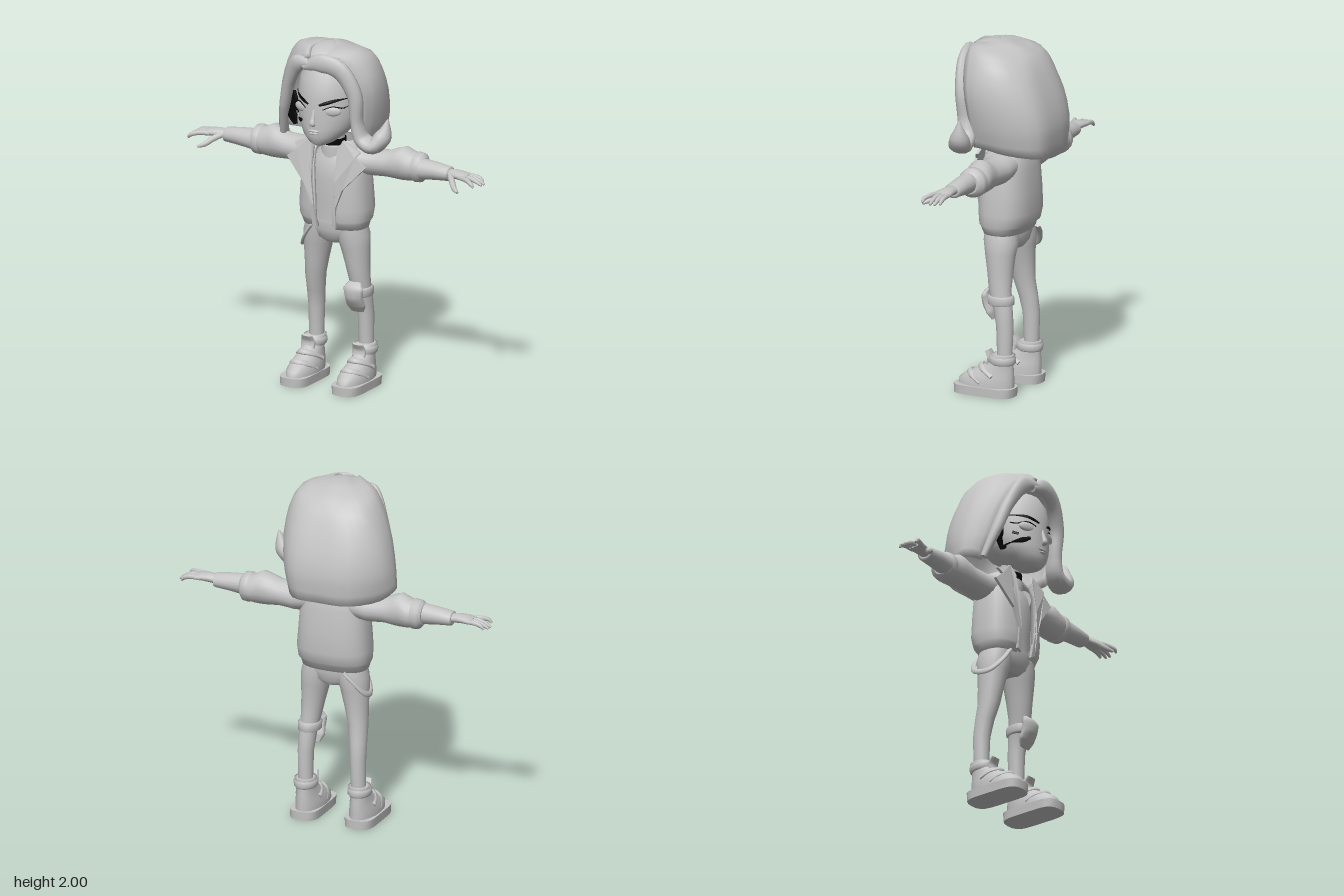
import * as THREE from 'three';

const V = (x, y, z) => new THREE.Vector3(x, y, z);
const curve = (pts) => new THREE.CatmullRomCurve3(pts, false, 'centripetal');
const clay = new THREE.MeshStandardMaterial({ color: 0xc4c4c4 });
clay.name = 'clay grey';
const ink = new THREE.MeshStandardMaterial({ color: 0x050505 });
ink.name = 'ink black';

// Turns faces outward as seen from the centroid.
function orient(pts, idx) {
  const c = pts.reduce((a, p) => a.add(p), V(0, 0, 0)).divideScalar(pts.length);
  let vol = 0;
  for (let i = 0; i < idx.length; i += 3) {
    const [a, b, d] = [0, 1, 2].map((k) => pts[idx[i + k]].clone().sub(c));
    vol += a.dot(b.cross(d));
  }
  if (vol < 0) for (let i = 0; i < idx.length; i += 3) [idx[i], idx[i + 1]] = [idx[i + 1], idx[i]];
}

function build(pts, idx) {
  orient(pts, idx);
  const g = new THREE.BufferGeometry().setFromPoints(pts);
  g.setIndex(idx);
  g.computeVertexNormals();
  return g;
}

// Joins closed rings of points and caps both ends.
function loft(rings) {
  const n = rings[0].length, pts = rings.flat(), idx = [];
  for (let j = 0; j < rings.length - 1; j++)
    for (let i = 0; i < n; i++) {
      const a = j * n + i, b = j * n + (i + 1) % n;
      idx.push(a, b, a + n, b, b + n, a + n);
    }
  for (const [j, flip] of [[0, 1], [rings.length - 1, 0]]) {
    const c = rings[j].reduce((s, p) => s.add(p), V(0, 0, 0)).divideScalar(n);
    const rim = rings[j].map((p) => p.clone()), base = pts.length;
    pts.push(...rim, c);
    for (let i = 0; i < n; i++) {
      const a = base + i, b = base + (i + 1) % n;
      flip ? idx.push(b, a, base + n) : idx.push(a, b, base + n);
    }
  }
  return build(pts, idx);
}

// Oval sections [x, y, z, radiusA, radiusB] stacked along the y or x axis.
function ovals(sections, axis = 'y', n = 20) {
  return loft(sections.map(([x, y, z, a, b]) => Array.from({ length: n }, (_, i) => {
    const t = i / n * Math.PI * 2, u = a * Math.cos(t), v = b * Math.sin(t);
    return axis === 'y' ? V(x + u, y, z + v) : V(x, y + u, z + v);
  })));
}

// Tapered lock along a path; ref is the direction of its thickness.
function strand(path, widths, thick, ref = V(0, 0, 1), steps = 20, n = 10) {
  const c = curve(path.map((p) => V(...p))), rings = [];
  const pick = (a, t) => {
    if (!Array.isArray(a)) return a;
    const f = t * (a.length - 1), i = Math.min(Math.floor(f), a.length - 2);
    return a[i] + (a[i + 1] - a[i]) * (f - i);
  };
  for (let j = 0; j <= steps; j++) {
    const t = j / steps, p = c.getPoint(t), tan = c.getTangent(t);
    const side = tan.clone().cross(ref).normalize(), up = side.clone().cross(tan).normalize();
    rings.push(Array.from({ length: n }, (_, i) => {
      const a = i / n * Math.PI * 2;
      return p.clone().addScaledVector(side, pick(widths, t) * Math.cos(a))
        .addScaledVector(up, pick(thick, t) * Math.sin(a));
    }));
  }
  return loft(rings);
}

// Open sheet of points made into a wall of thickness t.
function shell(rows, t) {
  const m = rows.length, n = rows[0].length, pts = rows.flat(), idx = [], N = pts.length;
  for (let j = 0; j < m - 1; j++)
    for (let i = 0; i < n - 1; i++) {
      const a = j * n + i;
      idx.push(a, a + 1, a + n, a + 1, a + n + 1, a + n);
    }
  const normals = build(pts, idx).attributes.normal;
  const inner = pts.map((p, i) => p.clone().addScaledVector(V(0, 0, 0).fromBufferAttribute(normals, i), -t));
  const edges = new Map();
  for (let i = 0; i < idx.length; i += 3)
    for (let k = 0; k < 3; k++) {
      const a = idx[i + k], b = idx[i + (k + 1) % 3];
      edges.delete(b + '_' + a) || edges.set(a + '_' + b, [a, b]);
    }
  const all = [...idx];
  for (let i = 0; i < idx.length; i += 3) all.push(idx[i] + N, idx[i + 2] + N, idx[i + 1] + N);
  for (const [a, b] of edges.values()) all.push(b, a, a + N, b, a + N, b + N);
  const g = new THREE.BufferGeometry().setFromPoints([...pts, ...inner]);
  g.setIndex(all);
  g.computeVertexNormals();
  return g;
}

// Head levels: y, half width, front z, back z.
const HEAD = [[1.422, 0.03, 0.225, 0.15], [1.44, 0.07, 0.248, 0.08], [1.48, 0.118, 0.262, 0], [1.53, 0.155, 0.266, -0.08],
  [1.6, 0.18, 0.265, -0.14], [1.7, 0.186, 0.265, -0.17], [1.8, 0.172, 0.25, -0.17], [1.88, 0.13, 0.2, -0.13], [1.93, 0.05, 0.1, -0.05]];
function faceZ(x, y) {
  const i = Math.max(1, HEAD.findIndex((h) => h[0] > y)), A = HEAD[i - 1], B = HEAD[i];
  const [, w, f, b] = A.map((a, k) => a + (B[k] - a) * (y - A[0]) / (B[0] - A[0]));
  return (f + b) / 2 + (f - b) / 2 * Math.sqrt(Math.max(0, 1 - (x / w) ** 2));
}

export function createModel() {
  const model = new THREE.Group();
  const add = (name, geo, mat = clay) => {
    const m = new THREE.Mesh(geo, mat);
    m.name = name;
    model.add(m);
    return m;
  };
  const blob = (name, x, y, z, a, b, c) => {
    const m = add(name, new THREE.SphereGeometry(1, 18, 12));
    m.position.set(x, y, z);
    m.scale.set(a, b, c);
    return m;
  };
  const paint = (name, pts, w) => add(name, strand(pts.map(([x, y]) => [x, y, faceZ(x, y) + 0.003]), w, 0.004, V(0, 0, 1), 8, 6), ink);

  // Head and face
  add('head', ovals(HEAD.map(([y, w, f, b]) => [0, y, (f + b) / 2, w, (f - b) / 2]), 'y', 32));
  add('nose', strand([[0, 1.64, 0.258], [0, 1.59, 0.27], [0, 1.56, 0.278], [0, 1.548, 0.262]], [0.01, 0.014, 0.02, 0.012], [0.008, 0.012, 0.014, 0.006]));
  blob('upperLip', 0, 1.517, 0.262, 0.036, 0.008, 0.012);
  blob('lowerLip', 0, 1.502, 0.26, 0.028, 0.009, 0.013);
  for (const s of [1, -1]) {
    const eye = blob('eye', s * 0.1, 1.635, faceZ(0.1, 1.635) - 0.004, 0.05, 0.027, 0.014);
    eye.rotation.y = s * 0.4;
    paint('lash', [[s * 0.055, 1.645], [s * 0.1, 1.664], [s * 0.145, 1.652], [s * 0.162, 1.66]], [0.002, 0.003, 0.004, 0.001]);
    paint('eyebrow', [[s * 0.035, 1.67], [s * 0.07, 1.683], [s * 0.11, 1.697], [s * 0.165, 1.705]], [0.006, 0.01, 0.009, 0.002]);
    blob('ear', s * 0.185, 1.6, 0.02, 0.02, 0.05, 0.035);
  }
  paint('cheekStripe', [[-0.155, 1.525], [-0.12, 1.55], [-0.085, 1.568]], [0.012, 0.017, 0.008]);
  paint('cheekDot', [[-0.155, 1.6], [-0.135, 1.59]], [0.012, 0.01]);
  add('sidePatch', strand([[-0.215, 1.68, 0.12], [-0.205, 1.6, 0.125], [-0.215, 1.55, 0.125], [-0.195, 1.49, 0.125]], [0.02, 0.03, 0.022, 0.032, 0.014], 0.005), ink);

  // Hair: meridians from crown to tips, going round the back
  const columns = [
    [[-0.04, 1.94, 0.255], [-0.14, 1.88, 0.22], [-0.225, 1.74, 0.17], [-0.28, 1.55, 0.12], [-0.3, 1.41, 0.07]],
    [[-0.06, 1.98, 0.2], [-0.21, 1.95, 0.09], [-0.31, 1.77, 0.05], [-0.365, 1.55, 0.01], [-0.375, 1.43, 0]],
    [[-0.05, 1.99, 0.12], [-0.2, 1.93, -0.08], [-0.3, 1.76, -0.11], [-0.345, 1.55, -0.13], [-0.33, 1.39, -0.12]],
    [[-0.03, 2, 0.08], [-0.11, 1.92, -0.12], [-0.17, 1.76, -0.21], [-0.2, 1.55, -0.26], [-0.19, 1.38, -0.25]],
    [[0, 2, 0.06], [0, 1.93, -0.12], [0, 1.76, -0.22], [0, 1.55, -0.28], [0, 1.38, -0.265]],
    [[0.03, 2, 0.08], [0.1, 1.92, -0.11], [0.16, 1.76, -0.2], [0.17, 1.55, -0.255], [0.15, 1.38, -0.245]],
    [[0.06, 1.99, 0.12], [0.2, 1.93, -0.04], [0.265, 1.76, -0.08], [0.265, 1.55, -0.1], [0.23, 1.4, -0.09]],
    [[0.07, 1.98, 0.18], [0.22, 1.94, 0.08], [0.29, 1.77, 0.07], [0.27, 1.55, 0.06], [0.23, 1.42, 0.06]],
    [[0.05, 1.95, 0.24], [0.17, 1.91, 0.2], [0.25, 1.76, 0.17], [0.24, 1.55, 0.14], [0.22, 1.42, 0.12]],
  ].map((c) => curve(c.map((p) => V(...p))).getPoints(12));
  const levels = columns[0].map((_, j) => curve(columns.map((c) => c[j])).getPoints(24));
  add('hair', shell(levels, 0.03));
  blob('hairCrown', 0, 1.91, 0.09, 0.13, 0.085, 0.16);
  add('sweptLock', strand([[-0.07, 1.875, 0.245], [0.03, 1.91, 0.245], [0.14, 1.88, 0.22], [0.22, 1.74, 0.19], [0.225, 1.58, 0.17],
    [0.25, 1.48, 0.155], [0.32, 1.45, 0.15], [0.37, 1.51, 0.13], [0.395, 1.61, 0.12]],
  [0.02, 0.055, 0.055, 0.045, 0.035, 0.042, 0.045, 0.05, 0.003], [0.02, 0.03, 0.035, 0.04, 0.045, 0.06, 0.07, 0.055, 0.005], V(0, 0, 1), 36, 12));
  add('sideLock', strand([[-0.03, 1.9, 0.25], [-0.12, 1.885, 0.225], [-0.2, 1.76, 0.18], [-0.255, 1.6, 0.14], [-0.3, 1.42, 0.08]],
    [0.02, 0.05, 0.035, 0.03, 0.02], [0.02, 0.03, 0.035, 0.035, 0.02], V(0, 0, 1), 28, 12));

  // Neck and top
  add('neck', ovals([[0, 1.3, 0.01, 0.06, 0.06], [0, 1.5, 0.05, 0.06, 0.06]]));
  add('choker', ovals([[0, 1.385, 0.03, 0.066, 0.068], [0, 1.425, 0.035, 0.066, 0.068]]), ink);
  add('rollNeck', ovals([[0, 1.29, 0.015, 0.1, 0.09], [0, 1.33, 0.02, 0.078, 0.08], [0, 1.38, 0.025, 0.082, 0.082], [0, 1.39, 0.025, 0.072, 0.072]]));
  add('shirt', ovals([[0, 0.9, 0.01, 0.172, 0.105], [0, 1.05, 0.005, 0.165, 0.11], [0, 1.2, 0.005, 0.17, 0.125], [0, 1.3, 0, 0.15, 0.11], [0, 1.36, 0, 0.09, 0.08]], 'y', 28));

  // Jacket: y, half width, front z, back z, half opening
  const jacket = [[0.915, 0.19, 0.125, -0.105, 0.055], [0.95, 0.2, 0.14, -0.115, 0.055], [0.965, 0.208, 0.15, -0.135, 0.055], [1.03, 0.215, 0.155, -0.15, 0.055],
    [1.15, 0.205, 0.155, -0.148, 0.06], [1.28, 0.195, 0.15, -0.14, 0.07], [1.36, 0.17, 0.12, -0.125, 0.08], [1.415, 0.11, 0.08, -0.1, 0.07]];
  add('jacketBody', shell(jacket.map(([y, w, f, b, gap]) => Array.from({ length: 33 }, (_, i) => {
    const a0 = Math.asin((gap / w) ** 1.25), t = a0 + (Math.PI * 2 - 2 * a0) * i / 32;
    const q = (v) => Math.sign(v) * Math.abs(v) ** 0.8;
    return V(w * q(Math.sin(t)), y, (f + b) / 2 + (f - b) / 2 * q(Math.cos(t)));
  })), 0.015));

  for (const s of [1, -1]) {
    // Lapels
    const shape = new THREE.Shape([[0.045, 0.915], [0.075, 0.93], [0.08, 1.05], [0.12, 1.16], [0.25, 1.3], [0.185, 1.35], [0.21, 1.38], [0.1, 1.435],
      [0.075, 1.38], [0.075, 1.2], [0.06, 1.05]].map(([x, y]) => new THREE.Vector2(s * x, y)));
    const lapel = new THREE.ExtrudeGeometry(shape, { depth: 0.016, bevelEnabled: false });
    const p = lapel.attributes.position;
    for (let i = 0; i < p.count; i++) {
      const x = Math.abs(p.getX(i)), y = p.getY(i);
      p.setZ(i, p.getZ(i) + 0.15 - 0.6 * x * x - Math.max(0, y - 1.3) * 0.35 - Math.max(0, 1 - y) * 0.2);
    }
    lapel.computeVertexNormals();
    add('lapel', lapel);

    // Sleeves and cuffs
    const arm = (rows) => ovals(rows.map(([x, ...r]) => [s * x, ...r]), 'x', 18);
    add('upperSleeve', arm([[0.12, 1.31, -0.01, 0.08, 0.1], [0.22, 1.3, -0.02, 0.077, 0.09], [0.32, 1.305, -0.02, 0.075, 0.08], [0.38, 1.315, -0.025, 0.09, 0.083],
      [0.42, 1.32, -0.027, 0.097, 0.083], [0.47, 1.31, -0.03, 0.083, 0.085], [0.52, 1.31, -0.03, 0.075, 0.075]]));
    add('rolledCuff', arm([[0.485, 1.31, -0.03, 0.07, 0.07], [0.495, 1.31, -0.03, 0.086, 0.083], [0.53, 1.31, -0.028, 0.083, 0.08], [0.55, 1.31, -0.02, 0.06, 0.06]]));
    add('forearm', arm([[0.52, 1.31, -0.01, 0.062, 0.06], [0.63, 1.312, -0.01, 0.05, 0.055], [0.715, 1.31, -0.01, 0.041, 0.05], [0.72, 1.31, -0.01, 0.03, 0.038]]));

    // Hands
    add('palm', arm([[0.7, 1.31, -0.01, 0.025, 0.032], [0.75, 1.316, -0.005, 0.026, 0.04], [0.8, 1.316, 0, 0.022, 0.05], [0.84, 1.312, 0, 0.015, 0.05]]));
    const digit = (name, pts, r) => add(name, strand(pts.map(([x, y, z]) => [s * x, y, z]), [r, r, r * 0.9, r * 0.45], [r, r, r * 0.9, r * 0.45], V(0, 1, 0), 8, 8));
    for (const [z0, z1, end] of [[-0.036, -0.035, 0.915], [-0.013, -0.01, 0.935], [0.012, 0.018, 0.935], [0.036, 0.075, 0.915]])
      digit('finger', [[0.8, 1.313, z0], [0.86, 1.312, (z0 + z1) / 2], [0.9, 1.3, z1], [end, 1.282, z1]], 0.014);
    digit('thumb', [[0.735, 1.31, 0.02], [0.77, 1.29, 0.06], [0.8, 1.265, 0.09], [0.835, 1.252, 0.115]], 0.018);

    // Trouser legs
    add('trouserLeg', ovals([[0.095, 0.93, 0.01, 0.085, 0.1], [0.105, 0.87, 0.005, 0.093, 0.102], [0.118, 0.8, 0.005, 0.082, 0.088], [0.13, 0.7, 0, 0.068, 0.075], [0.142, 0.6, -0.005, 0.057, 0.065],
      [0.152, 0.5, -0.027, 0.05, 0.056], [0.158, 0.4, -0.043, 0.045, 0.05], [0.16, 0.2, -0.043, 0.041, 0.042]].map(([x, ...r]) => [s * x, ...r])));

    // Boots
    const sole = ovals([[s * 0.166, 0, 0.073, 0.084, 0.182], [s * 0.166, 0.05, 0.073, 0.086, 0.184]], 'y', 28);
    const sp = sole.attributes.position;
    for (let i = 0; i < sp.count; i++) {
      const z = (sp.getZ(i) - 0.073) / 0.184, dx = sp.getX(i) - s * 0.166;
      const round = Math.sqrt(Math.max(0.04, 1 - z * z));
      sp.setX(i, s * 0.166 + dx / round * Math.max(0, 1 - z ** 6) ** 0.4);
    }
    sole.computeVertexNormals();
    add('sole', sole);
    add('boot', ovals([[0.045, 0.08, 0.24, -0.1], [0.08, 0.08, 0.235, -0.1], [0.11, 0.072, 0.195, -0.1], [0.14, 0.063, 0.135, -0.098], [0.175, 0.056, 0.07, -0.095], [0.2, 0.055, 0.04, -0.095],
      [0.235, 0.062, 0.035, -0.105], [0.237, 0.045, 0.015, -0.09]].map(([y, w, f, b]) => [s * 0.163, y, (f + b) / 2, w, (f - b) / 2])));
    for (const [y, z, w] of [[0.125, 0.17, 0.062], [0.165, 0.1, 0.058]])
      add('bootStrap', strand([[s * 0.163 - w - 0.008, y - 0.05, z - 0.1], [s * 0.163 - w * 0.7, y - 0.01, z - 0.025], [s * 0.163, y, z], [s * 0.163 + w * 0.7, y - 0.01, z - 0.025], [s * 0.163 + w + 0.008, y - 0.05, z - 0.1]], 0.018, 0.01, V(0, 0.7, 0.7)));
    add('bootTongue', strand([[s * 0.163, 0.16, 0.05], [s * 0.163, 0.21, 0.04], [s * 0.163, 0.25, 0.058]], [0.04, 0.045, 0.035], 0.01));
    add('ankleBand', ovals([[s * 0.163, 0.18, -0.03, 0.058, 0.07], [s * 0.163, 0.19, -0.03, 0.066, 0.077], [s * 0.163, 0.215, -0.03, 0.068, 0.078], [s * 0.163, 0.225, -0.03, 0.058, 0.07]]));
  }

  // Hips, hanging strap, knee pad
  add('hips', ovals([[0, 0.82, 0, 0.07, 0.07], [0, 0.85, 0.005, 0.15, 0.095], [0, 0.9, 0.008, 0.185, 0.11], [0, 0.95, 0.008, 0.18, 0.11]], 'y', 28));
  add('hipStrap', strand([[-0.1, 0.92, 0.11], [-0.15, 0.85, 0.1], [-0.195, 0.785, 0.05], [-0.21, 0.775, 0], [-0.2, 0.8, -0.06], [-0.15, 0.87, -0.1], [-0.1, 0.92, -0.11]], 0.017, 0.009, V(-1, 0.2, 0.1), 28));
  add('kneeBand', ovals([[0.147, 0.515, -0.012, 0.055, 0.065], [0.147, 0.522, -0.012, 0.064, 0.08], [0.147, 0.56, -0.01, 0.066, 0.08], [0.147, 0.568, -0.01, 0.056, 0.066]]));
  add('kneePad', strand([[0.142, 0.605, 0.05], [0.142, 0.57, 0.068], [0.142, 0.52, 0.062], [0.142, 0.47, 0.04], [0.142, 0.43, 0.025]], [0.04, 0.064, 0.058, 0.062, 0.04], [0.01, 0.026, 0.03, 0.022, 0.008]));
  return model;
}
